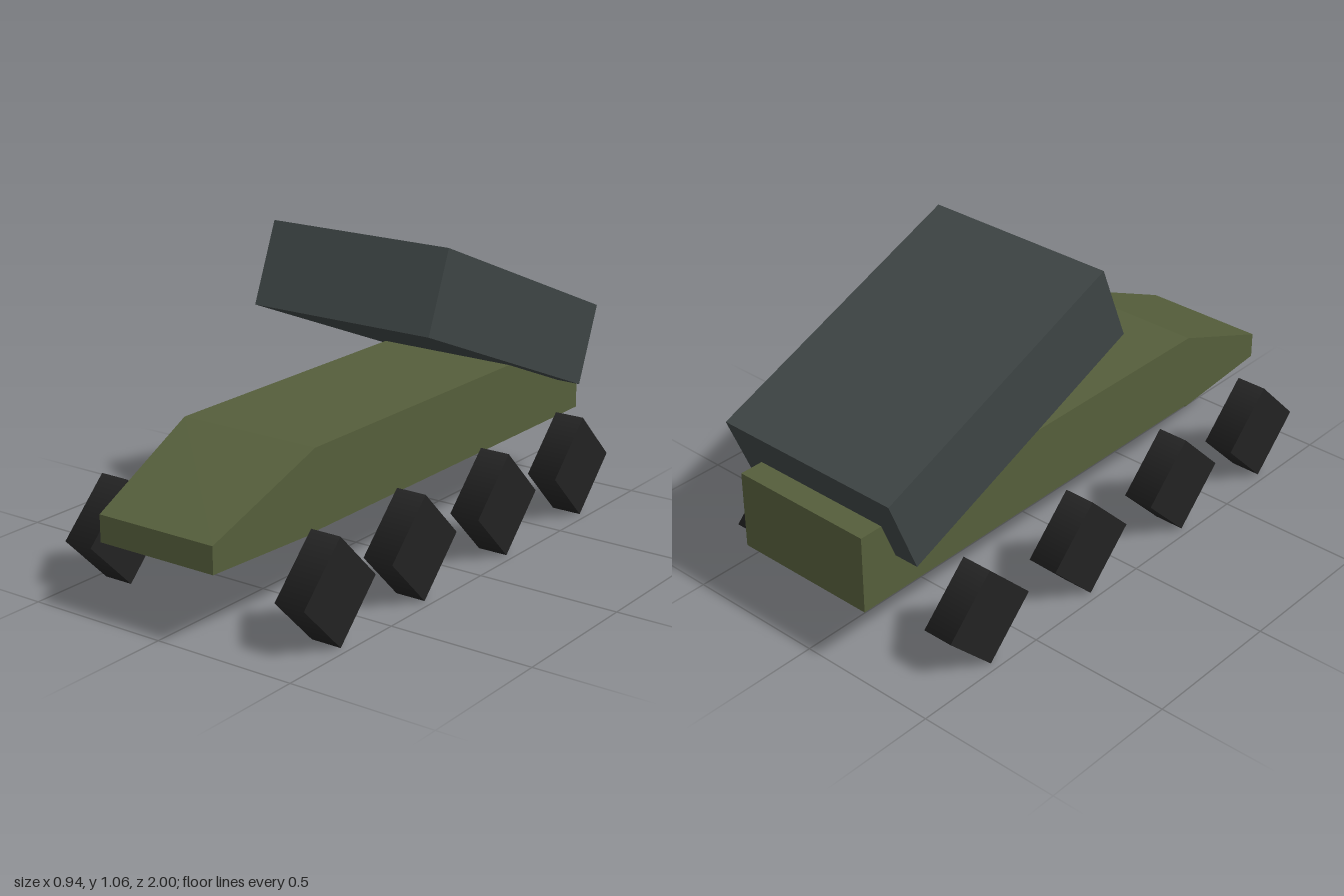
import * as THREE from 'three';

const paint = (name, color) => {
  const m = new THREE.MeshStandardMaterial({ color });
  m.name = name;
  return m;
};

// Box whose corners follow rectangular sections [z, halfWidth, bottom, top], front to back
function loft(sections) {
  const corners = sections.map(([z, w, b, t]) => [[-w, b, z], [w, b, z], [w, t, z], [-w, t, z]]);
  const pos = [];
  const quad = (a, b, c, d) => pos.push(...a, ...b, ...c, ...a, ...c, ...d);
  for (let i = 0; i < corners.length - 1; i++) {
    const f = corners[i], r = corners[i + 1];
    for (let k = 0; k < 4; k++) {
      const n = (k + 1) % 4;
      quad(f[k], r[k], r[n], f[n]);
    }
  }
  const first = corners[0], last = corners[corners.length - 1];
  quad(...first);
  quad(last[1], last[0], last[3], last[2]);
  const g = new THREE.BufferGeometry();
  g.setAttribute('position', new THREE.Float32BufferAttribute(pos, 3));
  g.computeVertexNormals();
  return g;
}

export function createModel() {
  const model = new THREE.Group();
  model.name = 'launcherTruck';
  const olive = paint('olive', 0x555e3b);
  const slate = paint('slate', 0x3d4444);
  const rubber = paint('rubber', 0x222222);

  const add = (name, geometry, material, x, y, z) => {
    const mesh = new THREE.Mesh(geometry, material);
    mesh.name = name;
    mesh.position.set(x, y, z);
    model.add(mesh);
    return mesh;
  };

  // Hull with sloping, tapered nose
  add('hull', loft([
    [1, 0.221, 0.264, 0.354],
    [0.56, 0.259, 0.268, 0.541],
    [0.56, 0.259, 0.273, 0.541],
    [-1, 0.259, 0.273, 0.541],
  ]), olive, 0, 0, 0);

  // Launcher box, raised at the front
  add('launcherBox', new THREE.BoxGeometry(0.696, 0.288, 1.028), slate, 0, 0.734, -0.44)
    .rotation.x = -0.384;

  // Four-sided wheels, standing on their corners
  const wheel = new THREE.CylinderGeometry(0.177, 0.177, 0.108, 4).rotateZ(Math.PI / 2);
  for (const z of [0.72, 0.28, -0.2, -0.68]) {
    add('leftWheel', wheel, rubber, 0.418, 0.177, z);
    add('rightWheel', wheel, rubber, -0.418, 0.177, z);
  }
  return model;
}
